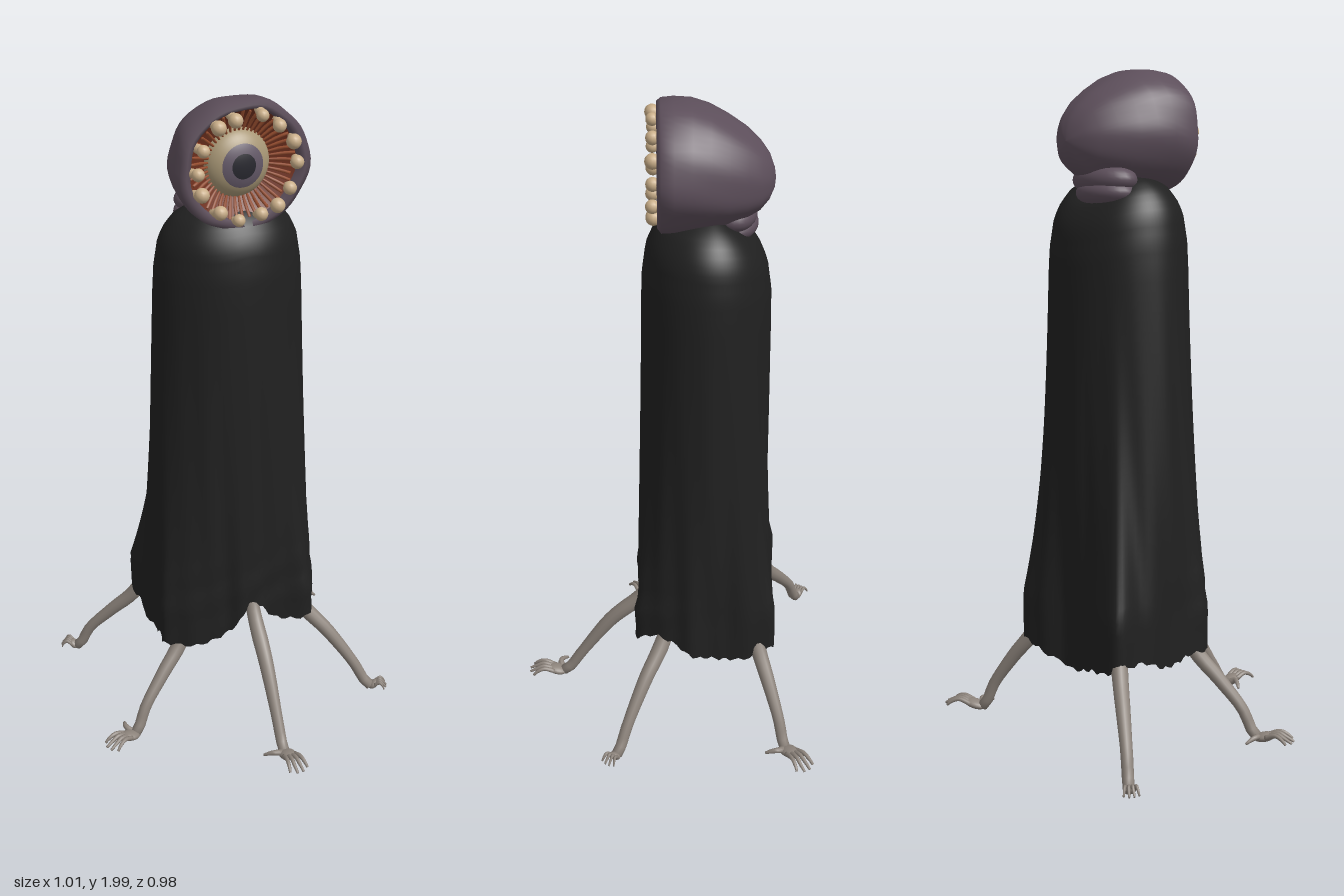
import * as THREE from 'three';

const mat = (name, color, side = THREE.FrontSide) => {
  const m = new THREE.MeshStandardMaterial({ color, side });
  m.name = name;
  return m;
};

// Smooth skin over a list of closed rings of points
function loft(rings) {
  const n = rings[0].length, pos = [], idx = [];
  rings.forEach(r => r.forEach(p => pos.push(p.x, p.y, p.z)));
  for (let i = 0; i < rings.length - 1; i++) {
    for (let j = 0; j < n; j++) {
      const k = (j + 1) % n, a = i * n + j, b = i * n + k;
      idx.push(a, b, b + n, a, b + n, a + n);
    }
  }
  const g = new THREE.BufferGeometry();
  g.setAttribute('position', new THREE.Float32BufferAttribute(pos, 3));
  g.setIndex(idx);
  g.computeVertexNormals();
  return g;
}

// Tapered round limb along a curve, with closed ends
function limb(points, radii, steps = 16, sides = 10) {
  const curve = new THREE.CatmullRomCurve3(points.map(p => new THREE.Vector3(...p)));
  const { normals, binormals } = curve.computeFrenetFrames(steps);
  const rings = [];
  const ring = (i, r) => {
    const c = curve.getPointAt(i / steps);
    rings.push(Array.from({ length: sides }, (_, j) => {
      const a = j / sides * Math.PI * 2;
      return c.clone().addScaledVector(normals[i], r * Math.cos(a)).addScaledVector(binormals[i], r * Math.sin(a));
    }));
  };
  const radius = i => {
    const f = i / steps * (radii.length - 1), k = Math.min(Math.floor(f), radii.length - 2);
    return THREE.MathUtils.lerp(radii[k], radii[k + 1], f - k);
  };
  ring(0, 0.0001);
  for (let i = 0; i <= steps; i++) ring(i, radius(i));
  ring(steps, 0.0001);
  return loft(rings);
}

// Rings facing z, each [z, cx, cy, rx, ry], made slightly lumpy
function zLoft(sections, lump) {
  const n = 56;
  return loft(sections.map(([z, cx, cy, rx, ry]) => Array.from({ length: n }, (_, j) => {
    const a = j / n * Math.PI * 2;
    const k = 1 + lump * (Math.sin(5 * a + 1 + z * 9) + 0.7 * Math.sin(9 * a + z * 14));
    return new THREE.Vector3(cx + rx * k * Math.cos(a), cy - ry * k * Math.sin(a), z);
  })));
}

// Piecewise linear lookup in [[x, y], ...] with rising x
function lookup(table, x) {
  for (let i = 1; i < table.length; i++) {
    const [x0, y0] = table[i - 1], [x1, y1] = table[i];
    if (x <= x1) return THREE.MathUtils.lerp(y0, y1, Math.max(0, (x - x0) / (x1 - x0)));
  }
  return table[table.length - 1][1];
}

// Long draped robe: oval at the shoulders, flaring to an uneven hem
function robeGeometry() {
  const hem = [ // x, y, z around the bottom edge
    [0.01, 0.42, 0.12], [-0.06, 0.32, 0.095], [-0.15, 0.28, 0.07], [-0.25, 0.28, 0.02],
    [-0.235, 0.27, -0.06], [-0.235, 0.25, -0.13], [-0.235, 0.29, -0.24], [-0.23, 0.28, -0.335],
    [-0.1, 0.25, -0.31], [0.02, 0.22, -0.28], [0.14, 0.26, -0.31], [0.23, 0.29, -0.305],
    [0.245, 0.26, -0.2], [0.255, 0.27, -0.12], [0.28, 0.31, -0.04], [0.25, 0.36, 0.05],
    [0.2, 0.32, 0.125], [0.1, 0.33, 0.095],
  ];
  const edge = new THREE.CatmullRomCurve3(hem.map(p => new THREE.Vector3(...p)), true);
  const shoulder = [[1.42, 1], [1.5, 0.99], [1.58, 0.93], [1.62, 0.84], [1.66, 0.69], [1.69, 0.42], [1.7, 0.12]];
  const n = 120, rows = 48, cx = 0.02, cz = -0.095, rings = [];
  for (let i = 0; i <= rows; i++) {
    const v = Math.pow(i / rows, 1.25), ring = [];
    for (let j = 0; j < n; j++) {
      const h = edge.getPoint(j / n), a = Math.atan2(h.z - cz, h.x - cx);
      const c = Math.cos(a), s = Math.sin(a);
      const ragged = 0.006 * Math.sin(j * 1.9) * Math.pow(v, 8);
      const napeDrop = 0.05 * Math.pow(Math.max(0, -s), 2); // neckline sits lower at the back
      const y = THREE.MathUtils.lerp(1.7 - napeDrop, h.y, v) + ragged;
      const t = THREE.MathUtils.clamp((1.5 - y) / 1.08, 0, 1), flare = Math.pow(t, 3.3);
      const rx = 0.225 + 0.042 * t, rz = 0.188 + 0.012 * t;
      const r = Math.pow(Math.pow(Math.abs(c) / rx, 1.98) + Math.pow(Math.abs(s) / rz, 1.98), -1 / 1.98);
      const fold = 1 + t * (0.016 * Math.sin(11 * a + 1.5 * y) + 0.012 * Math.sin(19 * a - 4 * y))
        + 0.02 * Math.exp(-Math.pow((y - 0.45) / 0.1, 2)) * Math.sin(y * 55 + 4 * a) * Math.max(0, s);
      const k = lookup(shoulder, y + napeDrop) * fold;
      ring.push(new THREE.Vector3(
        cx + k * THREE.MathUtils.lerp(r * c, h.x - cx, flare), y,
        cz + k * THREE.MathUtils.lerp(r * s, h.z - cz, flare)));
    }
    rings.push(ring);
  }
  return loft(rings);
}

export function createModel() {
  const root = new THREE.Group();
  const cloth = mat('black cloth', 0x202020, THREE.DoubleSide);
  const hide = mat('purple hide', 0x5c4e5a);
  const skin = mat('grey skin', 0x8c837b);
  const flesh = mat('red flesh', 0x70311f);
  const fibre = mat('orange fibre', 0x984e2f);
  const bone = mat('cream bone', 0xc8ad88);
  const sclera = mat('eye white', 0xa89776);
  const irisMat = mat('grey iris', 0x645968);
  const pupilMat = mat('dark pupil', 0x28282f);

  const add = (parent, name, geometry, material) => {
    const m = new THREE.Mesh(geometry, material);
    m.name = name;
    parent.add(m);
    return m;
  };

  add(root, 'robe', robeGeometry(), cloth);

  // Domed head with a thick lip
  const head = new THREE.Group();
  head.name = 'head';
  root.add(head);
  add(head, 'skull', zLoft([
    [0.015, 0.015, 1.815, 0.162, 0.155], [0.038, 0.015, 1.815, 0.168, 0.16], [0.047, 0.015, 1.815, 0.183, 0.172],
    [0.035, 0.017, 1.813, 0.202, 0.184], [0, 0.018, 1.815, 0.205, 0.185], [-0.05, 0.019, 1.817, 0.197, 0.18],
    [-0.1, 0.02, 1.812, 0.182, 0.17], [-0.15, 0.023, 1.804, 0.161, 0.152], [-0.2, 0.027, 1.797, 0.13, 0.127],
    [-0.24, 0.03, 1.79, 0.096, 0.097], [-0.265, 0.035, 1.788, 0.062, 0.064], [-0.279, 0.035, 1.785, 0.028, 0.029],
    [-0.283, 0.035, 1.785, 0.0005, 0.0005],
  ], 0.012), hide);
  [[0, 1.675, -0.165, 0.115, 0.052, 0.073], [-0.01, 1.638, -0.168, 0.105, 0.045, 0.074]].forEach(([x, y, z, a, b, c]) =>
    add(head, 'neckFold', new THREE.SphereGeometry(1, 28, 18).scale(a, b, c).translate(x, y, z), hide));

  // Mouth bowl lined with radial fibres
  add(head, 'mouth', zLoft([
    [-0.03, 0.012, 1.815, 0.07, 0.07], [-0.012, 0.013, 1.815, 0.11, 0.11],
    [0.012, 0.015, 1.815, 0.15, 0.145], [0.03, 0.015, 1.815, 0.172, 0.165]], 0.01), flesh);
  for (let i = 0; i < 48; i++) {
    const a = i / 48 * Math.PI * 2, r = 0.158 + 0.006 * Math.sin(i * 2.3);
    const at = (d, z) => [0.013 + d * Math.cos(a), 1.815 + d * 0.97 * Math.sin(a), z];
    add(head, 'mouthFibre', limb([at(0.09, -0.003), at(0.125, 0.01), at(r, 0.03)], [0.003, 0.005, 0.0045], 4, 5), fibre);
  }

  // Uneven teeth around the lip, by angle in degrees
  [0, 24, 50, 74, 105, 125, 154, 180, 204, 235, 260, 286, 307, 330].forEach((deg, i) => {
    const a = deg * Math.PI / 180, r = 0.152 + 0.004 * Math.sin(i * 2.7), size = 0.02 + 0.002 * Math.sin(i * 1.7);
    const at = (d, z) => [0.015 + d * Math.cos(a), 1.815 + d * 0.96 * Math.sin(a), z];
    add(head, 'toothRoot', limb([at(r + 0.014, 0.02), at(r + 0.006, 0.04), at(r, 0.055)], [0.013, 0.014, 0.013], 5, 10), bone);
    add(head, 'tooth', new THREE.SphereGeometry(size, 14, 10).translate(...at(r, 0.058 + 0.003 * Math.sin(i * 3.1))), bone);
  });

  // Eye in three bands of one flattened ball
  [['eyeball', 0.68, 1.2, sclera], ['iris', 0.37, 0.31, irisMat], ['pupil', 0, 0.37, pupilMat]].forEach(([name, from, span, m]) =>
    add(head, name, new THREE.SphereGeometry(0.1, 40, 12, 0, Math.PI * 2, from, span)
      .rotateX(Math.PI / 2).scale(1, 1, 0.6).translate(0.012, 1.815, -0.018), m));

  // Five arms used as legs: robe exit, wrist, hand heading, hand width and length, open hand or fist
  const arms = [
    [[0.025, 0.37, 0.09], [0, 0.37], [0, 1], 1, 1, true],
    [[-0.19, 0.28, 0.01], [-0.39, 0.09], [-0.93, 0.35], 1, 1, true],
    [[0.22, 0.3, -0.26], [0.39, -0.345], [0.86, -0.5], 1, 1.08, true],
    [[-0.22, 0.28, -0.315], [-0.398, -0.447], [-0.8, -0.55], 0.72, 0.48, false],
    [[0.21, 0.33, 0.03], [0.415, 0.185], [0.84, 0.54], 0.72, 0.48, false],
  ];
  arms.forEach(([e, w, dir, wide, long, open]) => {
    const arm = new THREE.Group();
    arm.name = 'arm';
    root.add(arm);
    const mix = (t, y) => [e[0] + (w[0] - e[0]) * t, y, e[2] + (w[1] - e[2]) * t];
    add(arm, 'forearm', limb([
      [0.02 + (e[0] - 0.02) * 0.4, 0.62, -0.095 + (e[2] + 0.095) * 0.5],
      e, mix(0.42, e[1] * 0.66), mix(0.78, 0.1), mix(0.93, 0.035), [w[0], 0.021, w[1]],
    ], [0.026, 0.025, 0.022, 0.025, 0.022, 0.018, 0.017], 24, 12), skin);

    const hand = new THREE.Group();
    hand.name = 'hand';
    hand.position.set(w[0], 0, w[1]);
    hand.rotation.y = Math.atan2(dir[0], dir[1]);
    hand.scale.set(wide, 1, long);
    arm.add(hand);
    add(hand, 'palm', new THREE.SphereGeometry(1, 18, 12).scale(0.026, 0.014, 0.035).rotateX(-0.25).translate(0, 0.025, 0.023), skin);
    for (let i = -1.5; i <= 1.5; i++) {
      const tip = 0.115 - 0.006 * i * i;
      add(hand, 'finger', limb([[i * 0.012, 0.029, 0.033], [i * 0.015, 0.042, 0.066], [i * 0.018, 0.033, 0.09], [i * 0.02, 0.022, tip]],
        [0.008, 0.007, 0.006, 0.004], 9, 8), skin);
    }
    if (open) {
      add(hand, 'thumb', limb([[-0.01, 0.022, 0.005], [-0.032, 0.034, 0.012], [-0.05, 0.03, 0.002], [-0.066, 0.02, -0.01]],
        [0.011, 0.009, 0.007, 0.004], 9, 8), skin);
    }
  });
  return root;
}
